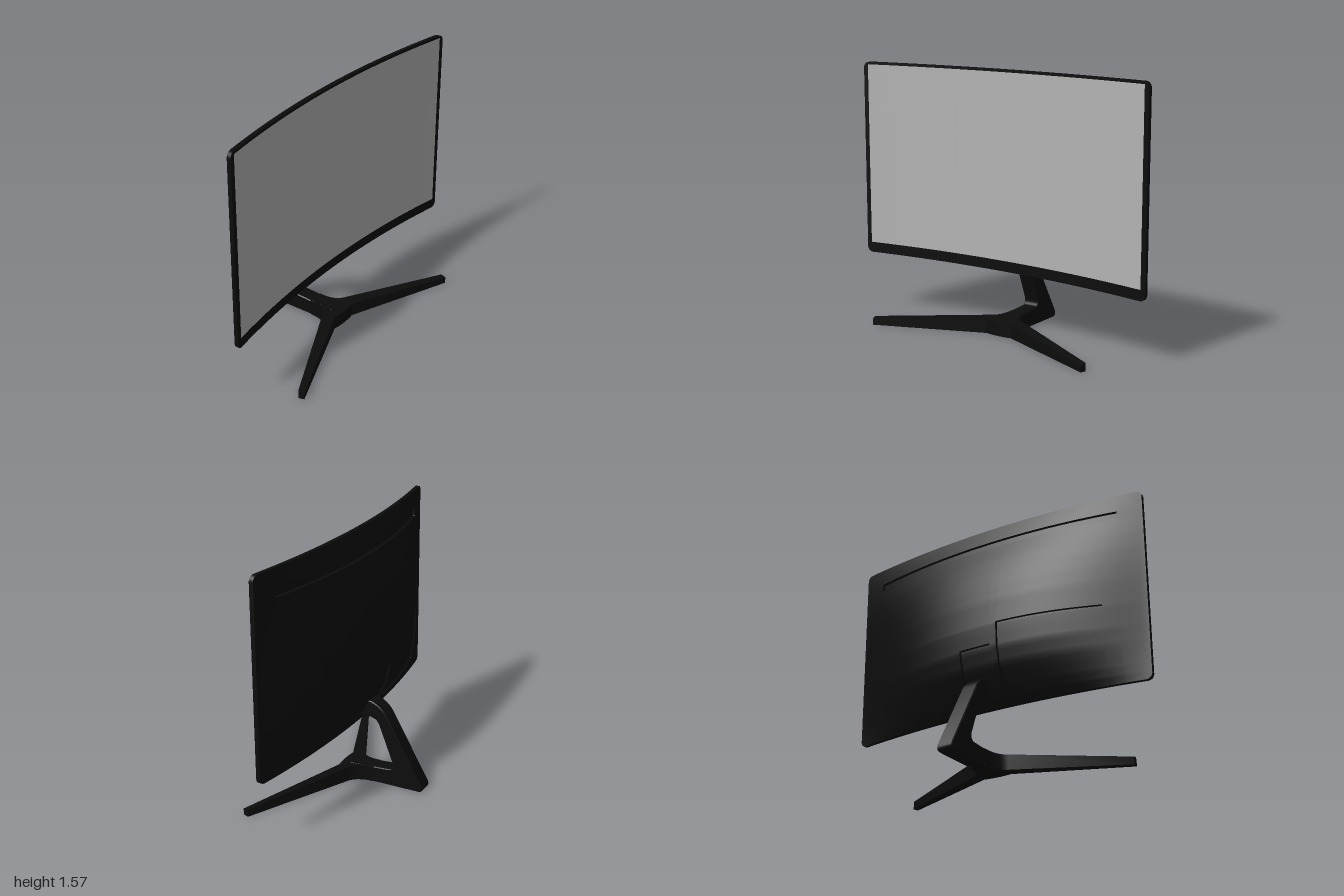
import * as THREE from 'three';
import { toCreasedNormals } from 'three/addons/utils/BufferGeometryUtils.js';

const LO = 0.375, HI = 1.57, R = 0.035, EDGE = 0.025;

// centre-line profile of the rear shell: [y, z]
const PROFILE = [[0.375, 0.035], [0.42, 0], [0.47, -0.03], [0.53, -0.06], [0.6, -0.09], [0.7, -0.113],
  [0.83, -0.12], [1, -0.109], [1.1, -0.094], [1.2, -0.074], [1.3, -0.046], [1.41, -0.01], [1.465, 0.002], [1.57, 0.035]];

// sunken areas of the rear shell
const RECESSES = [
  { x0: -0.85, x1: 0.85, y0: 1.41, y1: 1.46, d: 0.016 },   // long vent slot
  { x0: -0.76, x1: -0.14, y0: 0.48, y1: 0.85, d: 0.012 },  // connector bay
  { x0: -0.1, x1: 0.11, y0: 0.45, y1: 0.72, d: 0.012 },    // stand mount
];

const frontZ = (x) => 0.06 + 0.09 * x * x;

function profileZ(y) {
  let i = 0;
  while (i < PROFILE.length - 2 && y > PROFILE[i + 1][0]) i++;
  const [a, b] = [PROFILE[i], PROFILE[i + 1]];
  return THREE.MathUtils.mapLinear(y, a[0], b[0], a[1], b[1]);
}

function backZ(x, y) {
  const w = Math.max(0, 1 - Math.abs(x) ** 2.3) ** 1.3;
  let z = frontZ(x) - EDGE - w * (0.035 - profileZ(y));
  for (const r of RECESSES) {
    if (x > r.x0 && x < r.x1 && y > r.y0 && y < r.y1) z = Math.min(z + r.d, frontZ(x) - 0.006);
  }
  return z;
}

// corner rounding: how far the outline pulls in at a given x
function cornerInset(x) {
  const t = Math.max(0, Math.abs(x) - (1 - R));
  return R - Math.sqrt(Math.max(0, R * R - t * t));
}
const clampY = (x, y) => THREE.MathUtils.clamp(y, LO + cornerInset(x), HI - cornerInset(x));

// surface through fn(u, v); faces point along du x dv
function patch(fn, us, vs) {
  const pos = [];
  const tri = (a, b, c) => {
    const n = b.clone().sub(a).cross(c.clone().sub(a));
    if (n.length() > 1e-10) for (const p of [a, b, c]) pos.push(p.x, p.y, p.z);
  };
  for (let i = 0; i < us.length - 1; i++) {
    for (let j = 0; j < vs.length - 1; j++) {
      const a = fn(us[i], vs[j]), b = fn(us[i + 1], vs[j]);
      const c = fn(us[i + 1], vs[j + 1]), d = fn(us[i], vs[j + 1]);
      tri(a, b, c);
      tri(a, c, d);
    }
  }
  const g = new THREE.BufferGeometry();
  g.setAttribute('position', new THREE.Float32BufferAttribute(pos, 3));
  return toCreasedNormals(g, 0.4);
}

const range = (a, b, n) => Array.from({ length: n + 1 }, (_, i) => a + (b - a) * i / n);
const sorted = (list) => [...new Set(list)].sort((a, b) => a - b);

export function createModel() {
  const model = new THREE.Group();
  const black = new THREE.MeshStandardMaterial({ color: 0x0c0c0c });
  black.name = 'black plastic';
  const grey = new THREE.MeshStandardMaterial({ color: 0xb4b4b4 });
  grey.name = 'grey screen';
  const add = (name, geometry, material, parent = model) => {
    const mesh = new THREE.Mesh(geometry, material);
    mesh.name = name;
    parent.add(mesh);
    return mesh;
  };

  // grid lines, doubled at recess borders for crisp steps
  const corner = range(0, Math.PI / 2, 6).map((a) => 1 - R + R * Math.sin(a));
  const xs = sorted([...range(-0.95, 0.95, 38), ...corner, ...corner.map((x) => -x),
    ...RECESSES.flatMap((r) => [r.x0, r.x0 + 0.004, r.x1 - 0.004, r.x1])]);
  const ys = sorted([...PROFILE.map((p) => p[0]), ...range(LO, HI, 24), LO + R, HI - R,
    ...RECESSES.flatMap((r) => [r.y0, r.y0 + 0.004, r.y1 - 0.004, r.y1])]);

  // curved display housing
  const housing = new THREE.Group();
  housing.name = 'housing';
  model.add(housing);
  const at = (zOf) => (x, y) => {
    const cy = clampY(x, y);
    return new THREE.Vector3(x, cy, zOf(x, cy));
  };
  add('bezel', patch(at(frontZ), xs, ys), black, housing);
  add('rearShell', patch(at(backZ), [...xs].reverse(), ys), black, housing);

  // rim around the outline
  const outline = [...xs.map((x) => [x, clampY(x, LO)]), ...[...xs].reverse().map((x) => [x, clampY(x, HI)])];
  outline.push(outline[0]);
  const rim = ([x, y], t) => new THREE.Vector3(x, y, THREE.MathUtils.lerp(backZ(x, y), frontZ(x), t));
  add('rim', patch(rim, outline, [0, 1]), black, housing);

  // screen face
  add('screen', patch((x, y) => new THREE.Vector3(x, y, frontZ(x) + 0.003),
    range(-0.97, 0.97, 40), [0.44, 1.555]), grey);

  // stand
  const stand = new THREE.Group();
  stand.name = 'stand';
  stand.position.x = 0.005;
  model.add(stand);

  // bent neck and base spine, side profile in (z, y)
  const side = new THREE.Shape();
  side.moveTo(0.08, 0);
  side.lineTo(0.08, 0.09);
  side.lineTo(-0.18, 0.105);
  side.quadraticCurveTo(-0.217, 0.11, -0.207, 0.15);
  side.lineTo(-0.118, 0.38);
  side.quadraticCurveTo(-0.1, 0.43, -0.04, 0.428);
  side.lineTo(0.01, 0.425);
  side.lineTo(0.01, 0.53);
  side.lineTo(-0.06, 0.53);
  side.quadraticCurveTo(-0.13, 0.51, -0.165, 0.45);
  side.lineTo(-0.4, 0.04);
  side.quadraticCurveTo(-0.412, 0, -0.375, 0);
  side.closePath();
  const neck = new THREE.ExtrudeGeometry(side, { depth: 0.09, curveSegments: 8,
    bevelThickness: 0.005, bevelSize: 0.005, bevelOffset: -0.005, bevelSegments: 1 });
  neck.rotateY(-Math.PI / 2).translate(0.045, 0, 0);
  add('neck', toCreasedNormals(neck, 0.5), black, stand);

  // V-shaped legs, plan in (x, z), height tapering toward the tips
  const plan = new THREE.Shape();
  plan.moveTo(-0.05, -0.08);
  plan.lineTo(0.05, -0.08);
  plan.quadraticCurveTo(0.05, 0.03, 0.12, 0.062);
  plan.lineTo(0.753, 0.362);
  plan.quadraticCurveTo(0.762, 0.368, 0.759, 0.375);
  plan.lineTo(0.75, 0.402);
  plan.lineTo(0.09, 0.132);
  plan.quadraticCurveTo(0, 0.148, -0.09, 0.132);
  plan.lineTo(-0.75, 0.402);
  plan.lineTo(-0.759, 0.375);
  plan.quadraticCurveTo(-0.762, 0.368, -0.753, 0.362);
  plan.lineTo(-0.12, 0.062);
  plan.quadraticCurveTo(-0.05, 0.03, -0.05, -0.08);
  const legs = new THREE.ExtrudeGeometry(plan, { depth: 1, bevelEnabled: false, curveSegments: 8 });
  legs.rotateX(Math.PI / 2).translate(0, 1, 0);
  const p = legs.attributes.position;
  for (let i = 0; i < p.count; i++) {
    const z = p.getZ(i);
    p.setY(i, p.getY(i) * (z < 0.1 ? 0.0945 - 0.055 * z : 0.089 - 0.165 * (z - 0.1)));
  }
  add('legs', toCreasedNormals(legs, 0.5), black, stand);

  return model;
}
